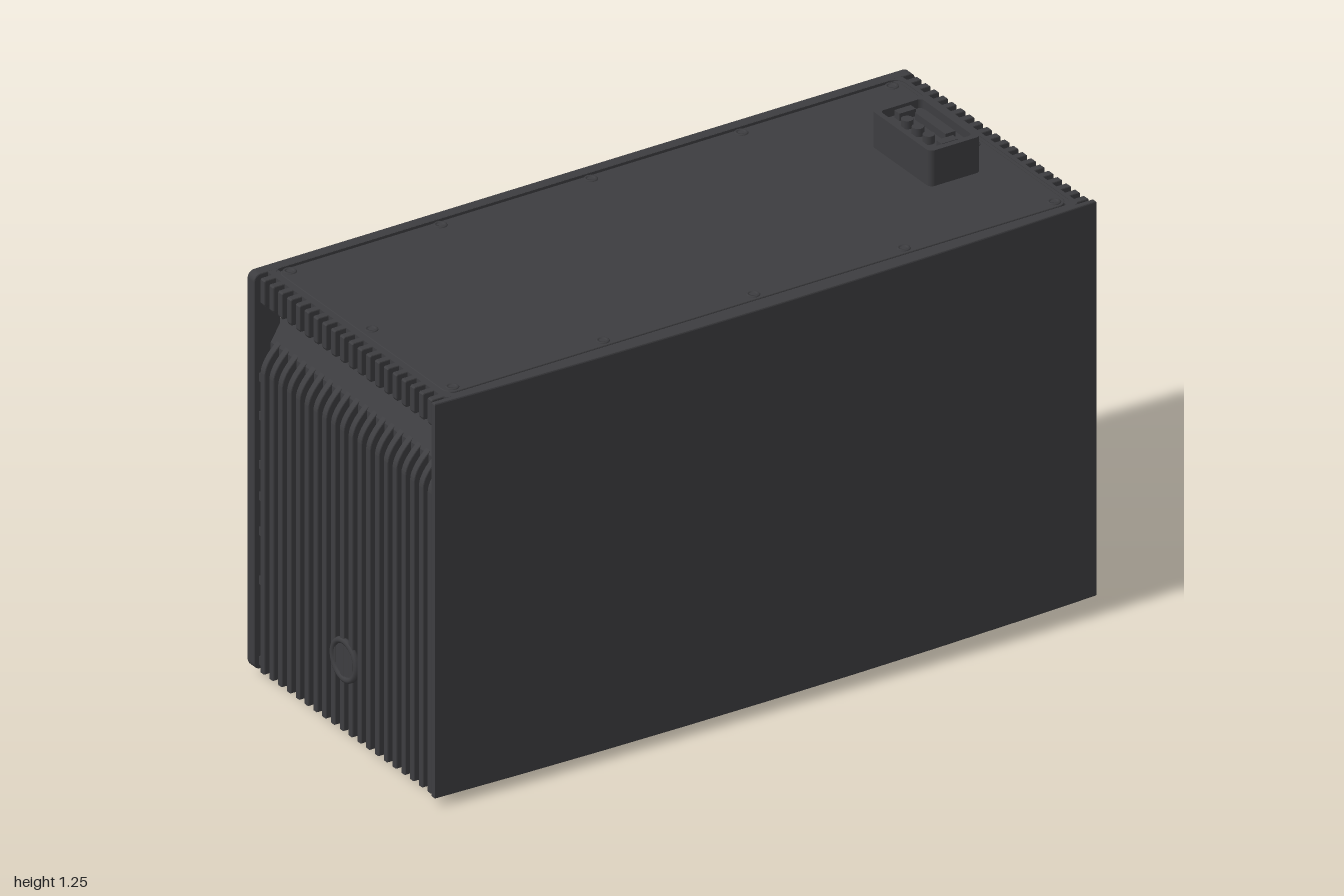
import * as THREE from 'three';

const W = 1, Y0 = 0.025, Y1 = 1.155;
const paint = new THREE.MeshStandardMaterial({ color: 0x3d3d40 });

function add(parent, geometry, name, x = 0, y = 0, z = 0) {
  const m = new THREE.Mesh(geometry, paint);
  m.name = name;
  m.position.set(x, y, z);
  parent.add(m);
  return m;
}

function group(parent, name) {
  const g = new THREE.Group();
  g.name = name;
  parent.add(g);
  return g;
}

// Box given by its limits on each axis
function block(parent, name, x0, x1, y0, y1, z0, z1) {
  return add(parent, new THREE.BoxGeometry(x1 - x0, y1 - y0, z1 - z0), name,
    (x0 + x1) / 2, (y0 + y1) / 2, (z0 + z1) / 2);
}

// Rounded rectangle outline, used for plates and for their holes
function roundRect(cx, cy, w, h, r, Type = THREE.Shape) {
  const s = new Type(), a = w / 2, b = h / 2, q = Math.PI / 2;
  s.moveTo(cx - a + r, cy - b);
  s.absarc(cx + a - r, cy - b + r, r, -q, 0);
  s.absarc(cx + a - r, cy + b - r, r, 0, q);
  s.absarc(cx - a + r, cy + b - r, r, q, 2 * q);
  s.absarc(cx - a + r, cy - b + r, r, 2 * q, 3 * q);
  s.closePath();
  return s;
}

function extrude(shape, depth, bevel = 0) {
  return new THREE.ExtrudeGeometry(shape, {
    depth, curveSegments: 8, bevelEnabled: bevel > 0,
    bevelSize: bevel, bevelThickness: bevel, bevelOffset: -bevel, bevelSegments: 2,
  });
}

const polygon = (pts) => new THREE.Shape(pts.map(([x, y]) => new THREE.Vector2(x, y)));

// Socket head screw, pointing up
const screwGeometry = new THREE.LatheGeometry(
  [[0, -0.004], [0.009, -0.004], [0.011, 0.003], [0.016, 0.003], [0.019, 0], [0.019, -0.006]]
    .map(([x, y]) => new THREE.Vector2(x, y)).reverse(), 12);

function buildShell(root) {
  // Bowed front cover
  const plan = new THREE.Shape();
  plan.moveTo(-W, -0.405);
  plan.lineTo(W, -0.405);
  plan.lineTo(W, -0.42);
  plan.quadraticCurveTo(0, -0.464, -W, -0.42);
  plan.closePath();
  const cover = extrude(plan, Y1 - Y0 - 0.008, 0.004);
  cover.rotateX(-Math.PI / 2);
  add(root, cover, 'frontCover', 0, Y0 + 0.004, 0);

  // Rear frame around the open back
  const frame = roundRect(0, 0.59, 2 * W, Y1 - Y0, 0.02);
  frame.holes.push(roundRect(0, 0.585, 1.84, 0.97, 0.03, THREE.Path));
  add(root, extrude(frame, 0.026, 0.003), 'rearFrame', 0, 0, -0.441);
  const screws = group(root, 'rearScrews');
  for (const y of [0.06, 1.12])
    for (const x of [-0.96, -0.455, 0, 0.455, 0.96])
      add(screws, screwGeometry, 'rearScrew', x, y, -0.444).rotation.x = -Math.PI / 2;
  for (const s of [-1, 1])
    for (const y of [0.41, 0.77])
      add(screws, screwGeometry, 'rearScrew', s * 0.96, y, -0.444).rotation.x = -Math.PI / 2;

  // Lid set into a narrow rim
  block(root, 'topPlate', -0.95, 0.95, 1.115, 1.144, -0.415, 0.408);
  const rim = roundRect(0, 0, 1.92, 0.83, 0.02);
  rim.holes.push(roundRect(0, 0, 1.896, 0.806, 0.03, THREE.Path));
  add(root, extrude(rim, 0.015), 'topRim', 0, 1.154, -0.008).rotation.x = Math.PI / 2;
  add(root, extrude(roundRect(0, 0, 1.88, 0.79, 0.03), 0.013, 0.003), 'lid', 0, 1.15, -0.008)
    .rotation.x = Math.PI / 2;
  const lidScrews = group(root, 'lidScrews');
  for (const x of [-0.91, -0.455, 0, 0.455, 0.91])
    for (const z of [-0.385, -0.01, 0.362])
      if (z !== -0.01 || Math.abs(x) > 0.9) add(lidScrews, screwGeometry, 'lidScrew', x, 1.153, z);
}

function buildSide(root, s) {
  const side = group(root, s > 0 ? 'leftSide' : 'rightSide');
  // Wall section with the hand recess folded inwards
  const wall = polygon([[0.95, 0.03], [0.95, 0.95], [0.87, 1.08], [0.955, 1.08], [0.955, 1.152], [0.93, 1.152],
    [0.93, 1.1], [0.845, 1.1], [0.845, 1.075], [0.93, 0.94], [0.93, 0.03]].map(([x, y]) => [s * x, y]));
  add(side, extrude(wall, 0.83), 'sideWall', 0, 0, -0.42);

  // Cooling fins below and above the recess
  const lower = new THREE.Shape();
  lower.moveTo(s * 0.945, 0.027);
  lower.lineTo(s * 0.994, 0.027);
  lower.lineTo(s * 0.994, 0.885);
  lower.quadraticCurveTo(s * 0.992, 0.92, s * 0.945, 0.96);
  lower.closePath();
  const upper = polygon([[0.95, 1.078], [0.99, 1.078], [0.994, 1.085], [0.994, 1.15], [0.99, 1.154], [0.95, 1.154]]
    .map(([x, y]) => [s * x, y]));
  const low = extrude(lower, 0.014, 0.003), high = extrude(upper, 0.014, 0.003);
  for (let i = 0; i < 20; i++) {
    const z = 0.386 - i * 0.0405;
    add(side, low, 'coolingFin', 0, 0, z - 0.007);
    add(side, high, 'upperFin', 0, 0, z - 0.007);
  }
  // Small clips and inner bosses near the rear edge
  for (const y of [0.05, 0.28, 0.42, 0.52, 0.61, 0.75, 0.86]) {
    block(side, 'clip', s * 0.965 - 0.02, s * 0.965 + 0.02, y - 0.012, y + 0.012, -0.415, -0.385);
    block(side, 'innerBoss', s * 0.915 - 0.02, s * 0.915 + 0.02, y - 0.02, y + 0.02, -0.415, -0.37);
  }
}

function buildBase(root) {
  block(root, 'floor', -0.94, 0.94, 0.065, 0.08, -0.415, 0.408);
  const rim = roundRect(0, 0, 1.92, 0.83, 0.02);
  rim.holes.push(roundRect(0, 0, 1.78, 0.71, 0.04, THREE.Path));
  add(root, extrude(rim, 0.04), 'baseRim', 0, 0.067, -0.005).rotation.x = Math.PI / 2;
  // Rib lattice under the floor
  const ribs = group(root, 'baseRibs');
  for (let i = 0; i < 8; i++) {
    const x = -0.735 + i * 0.19;
    block(ribs, 'crossRib', x - 0.008, x + 0.008, 0.033, 0.067, -0.36, 0.36);
  }
  for (let i = 0; i < 5; i++) {
    const z = -0.27 + i * 0.135;
    block(ribs, 'longRib', -0.89, 0.66, 0.037, 0.067, z - 0.008, z + 0.008);
  }
  // Hollow round feet
  const foot = new THREE.LatheGeometry([[0.06, 0.067], [0.06, 0.025], [0.053, 0.012], [0.05, 0], [0.03, 0], [0.026, 0.02], [0, 0.02]]
    .reverse().map(([x, y]) => new THREE.Vector2(x, y)), 24);
  for (const x of [-0.835, 0.835])
    for (const z of [-0.335, 0.33]) {
      add(root, foot, 'foot', x, 0, z);
      block(root, 'footPad', x - 0.1, x + 0.1, 0.016, 0.03, z - 0.03, z + 0.03);
    }
}

// Rimmed connector housing with pins, open upwards
function buildConnector(root, name, x, y, z, h) {
  const g = group(root, name);
  g.position.set(x, y, z);
  const wall = roundRect(0, 0, 0.155, 0.27, 0.015);
  wall.holes.push(roundRect(0, 0, 0.125, 0.235, 0.012, THREE.Path));
  add(g, extrude(wall, h), 'housing').rotation.x = -Math.PI / 2;
  block(g, 'housingFloor', -0.07, 0.07, 0, h - 0.025, -0.125, 0.125);
  const pin = new THREE.CylinderGeometry(0.016, 0.016, 0.03, 12);
  for (const pz of [-0.05, 0, 0.05]) add(g, pin, 'pin', -0.025, h - 0.017, pz);
  block(g, 'contactBlock', 0.012, 0.042, h - 0.026, h - 0.004, -0.07, 0.07);
  for (const s of [-1, 1]) block(g, 'latch', -0.025, 0.025, h - 0.026, h - 0.004, s * 0.097 - 0.012, s * 0.097 + 0.012);
  return g;
}

function buildInterior(root) {
  // Partition with a cable hole
  const part = roundRect(0, 0.59, 0.8, 1.05, 0.01);
  part.holes.push(roundRect(-0.02, 0.4, 0.08, 0.1, 0.039, THREE.Path));
  add(root, extrude(part, 0.016), 'partition', 0.652, 0, 0).rotation.y = Math.PI / 2;
  // Control unit beside the partition
  block(root, 'controlUnit', 0.87, 0.932, 0.3, 0.85, -0.27, 0.3);
  block(root, 'controlCover', 0.85, 0.872, 0.4, 0.75, -0.2, 0.2);

  // Slotted sheet-metal box
  const box = group(root, 'innerBox');
  const [x0, x1, y0, y1, z0, z1] = [-0.505, 0.23, 0.345, 0.83, -0.286, 0.36];
  const ym = (y0 + y1) / 2, xm = (x0 + x1) / 2, t = 0.012;
  const back = roundRect(xm, ym, x1 - x0, y1 - y0, 0.003);
  back.holes.push(roundRect(xm, ym, 0.42, 0.13, 0.064, THREE.Path));
  add(box, extrude(back, t), 'boxRear', 0, 0, z0);
  add(box, extrude(back, t), 'boxFront', 0, 0, z1 - t);
  const end = roundRect(-(z0 + z1) / 2, ym, z1 - z0, y1 - y0, 0.003);
  end.holes.push(roundRect(-(z0 + z1) / 2, ym, 0.34, 0.13, 0.064, THREE.Path));
  for (const x of [x0, x1 - t]) add(box, extrude(end, t), 'boxEnd', x, 0, 0).rotation.y = Math.PI / 2;
  block(box, 'boxTop', x0, x1, y1 - t, y1, z0, z1);
  block(box, 'boxBottom', x0, x1, y0, y0 + t, z0, z1);

  // Upright strap holding the box
  const strap = roundRect(xm, 0.55, 0.18, 0.95, 0.005);
  for (const y of [0.3, 0.56, 0.84]) strap.holes.push(roundRect(xm, y, 0.085, 0.14, 0.03, THREE.Path));
  add(root, extrude(strap, 0.014), 'strap', 0, 0, z0 - 0.016);

  // Floor rails
  for (const x of [0.55, 0.19, -0.39, -0.69])
    block(root, 'floorRail', x - 0.03, x + 0.03, 0.08, 0.12, -0.26, 0.33);
}

export function createModel() {
  const root = new THREE.Group();
  root.name = 'equipmentCase';
  buildShell(root);
  buildSide(root, 1);
  buildSide(root, -1);
  buildBase(root);
  buildConnector(root, 'topConnector', 0.768, 1.15, -0.01, 0.105);
  buildConnector(root, 'baseConnector', 0.768, 0.068, -0.01, 0.035).rotation.x = Math.PI;
  buildInterior(root);

  // Round button on the right side
  const button = group(root, 'sideButton');
  add(button, new THREE.CylinderGeometry(0.05, 0.05, 0.05, 32), 'buttonFace', -0.967, 0.23, -0.01).rotation.z = Math.PI / 2;
  add(button, new THREE.TorusGeometry(0.054, 0.009, 8, 32), 'buttonRing', -0.99, 0.23, -0.01).rotation.y = Math.PI / 2;
  return root;
}
